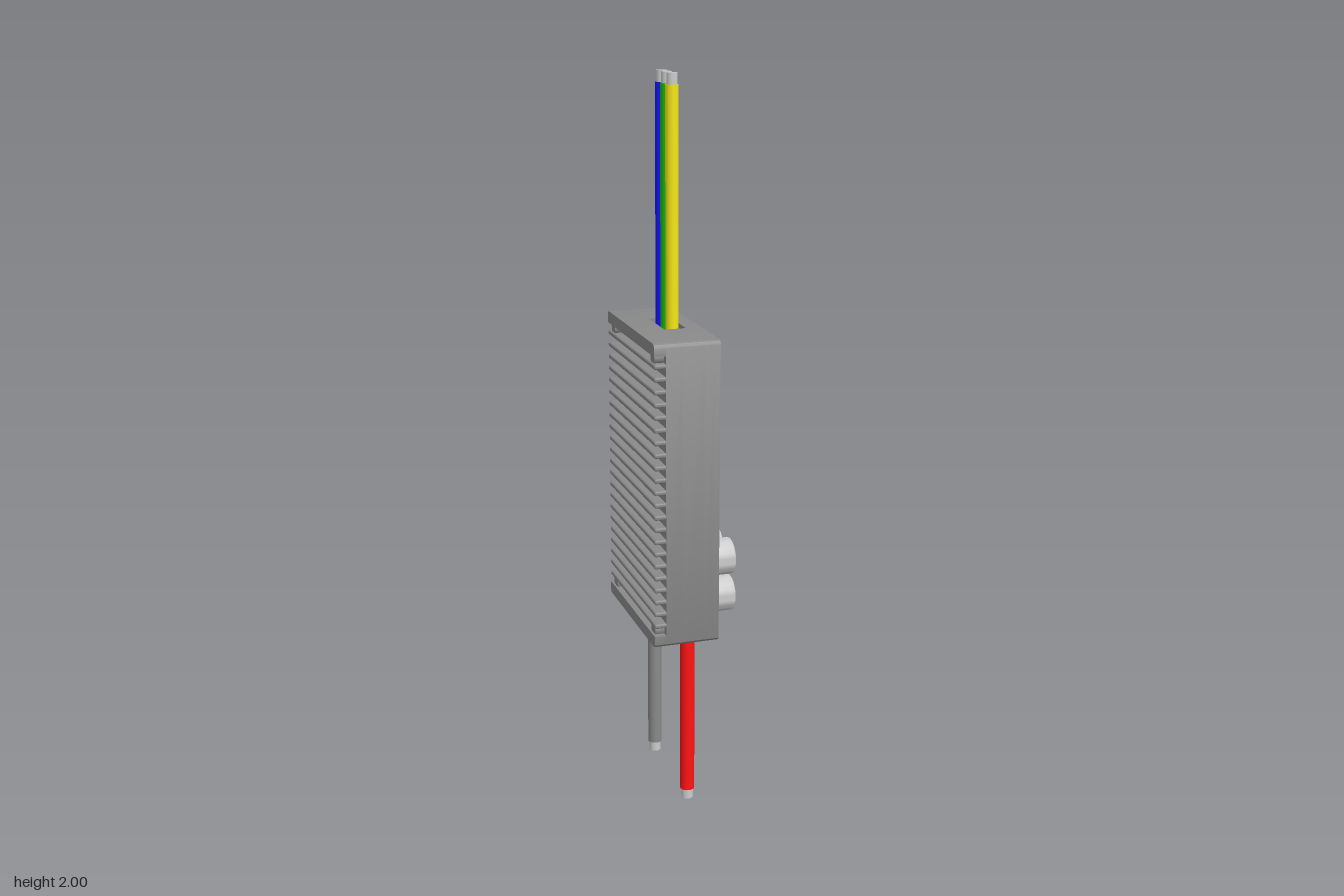
import * as THREE from 'three';
import { RoundedBoxGeometry } from 'three/addons/geometries/RoundedBoxGeometry.js';
import { toCreasedNormals } from 'three/addons/utils/BufferGeometryUtils.js';

const mat = (color) => new THREE.MeshStandardMaterial({ color });
const GREY = mat(0xcccccc), CASE = mat(0x898989);
const V = (x, y) => new THREE.Vector2(x, y);

// Case limits: back of core, front face, bottom, top, half width
const CORE = -0.096, BACK = -0.128, FRONT = 0.053, Y0 = 0.492, Y1 = 1.333, W = 0.22, R = 0.012;

export function createModel() {
  const model = new THREE.Group();

  function add(name, geo, material, x = 0, y = 0, z = 0, parent = model) {
    const mesh = new THREE.Mesh(geo, material);
    mesh.name = name;
    mesh.position.set(x, y, z);
    parent.add(mesh);
    return mesh;
  }

  // Extrude a profile drawn with u = -z and v = y from x0 to x1
  function plate(name, shape, x0, x1, parent) {
    const geo = new THREE.ExtrudeGeometry(shape, { depth: x1 - x0, bevelEnabled: false, curveSegments: 16 });
    geo.rotateY(Math.PI / 2);
    return add(name, toCreasedNormals(geo, 0.6), CASE, x0, 0, 0, parent);
  }

  // Case outline; notches are [u0, u1, depth] cut from the bottom or top edge
  function outline(bottom = [], top = [], y0 = Y0, y1 = Y1, rb = R, rt = R) {
    const s = new THREE.Shape();
    s.moveTo(-W + rb, y0);
    for (const [a, b, d] of bottom) {
      s.lineTo(a, y0); s.lineTo(a, y0 + d); s.lineTo(b, y0 + d); s.lineTo(b, y0);
    }
    s.lineTo(W - rb, y0);
    if (rb) s.absarc(W - rb, y0 + rb, rb, -Math.PI / 2, 0);
    s.lineTo(W, y1 - rt);
    if (rt) s.absarc(W - rt, y1 - rt, rt, 0, Math.PI / 2);
    for (const [a, b, d] of top) {
      s.lineTo(b, y1); s.lineTo(b, y1 - d); s.lineTo(a, y1 - d); s.lineTo(a, y1);
    }
    s.lineTo(-W + rt, y1);
    if (rt) s.absarc(-W + rt, y1 - rt, rt, Math.PI / 2, Math.PI);
    s.lineTo(-W, y0 + rb);
    if (rb) s.absarc(-W + rb, y0 + rb, rb, Math.PI, Math.PI * 1.5);
    return s;
  }

  // Case in layers: the middle one holds the cable openings
  const housing = new THREE.Group();
  housing.name = 'housing';
  model.add(housing);
  plate('caseBack', outline(), CORE, -0.05, housing);
  plate('caseMiddle', outline([[-0.188, -0.128, 0.04], [0.121, 0.181, 0.04]], [[-0.06, 0.083, 0.05]]), -0.05, 0.01, housing);
  plate('caseInner', outline(), 0.01, 0.038, housing);

  // Front cover with a scalloped capacitor well and an L-shaped parts window
  const cover = outline();
  const du = 0.1065, cy = [0.585, 0.692], r = 0.057;
  const a = Math.acos(0.05345 / r), P = Math.PI;
  const well = new THREE.Path();
  [[-1, 0, P / 2 + a, 2 * P - a], [0, 0, P + a, 2 * P - a], [1, 0, P + a, 2.5 * P - a],
    [1, 1, -P / 2 + a, P - a], [0, 1, a, P - a], [-1, 1, a, 1.5 * P - a]]
    .forEach(([i, j, s, e]) => well.absarc(i * du, cy[j], r, s, e));
  const win = new THREE.Path([V(0.12, 1.235), V(0.172, 1.235), V(0.172, 0.855), V(0, 0.855),
    V(0, 0.9), V(0.065, 0.9), V(0.065, 0.915), V(0.12, 0.915)]);
  const port = new THREE.Path([V(0.083, 1.035), V(0.103, 1.035), V(0.103, 1.068), V(0.083, 1.068)]);
  cover.holes.push(well, win, port);
  plate('frontCover', cover, 0.038, FRONT, housing);

  // Heat sink: end bars, rounded fins and corner screws
  const sink = new THREE.Group();
  sink.name = 'heatSink';
  model.add(sink);
  plate('topBar', outline([], [], Y1 - 0.033, Y1, 0, R), BACK, CORE, sink);
  plate('bottomBar', outline([], [], Y0, Y0 + 0.033, R, 0), BACK, CORE, sink);
  const fins = 22, pitch = (Y1 - Y0 - 0.054) / (fins + 1);
  for (let i = 1; i <= fins; i++) {
    add('fin', new RoundedBoxGeometry(0.042, 0.013, 2 * W, 2, 0.005), CASE,
      BACK + 0.021, Y0 + 0.027 + i * pitch, 0, sink);
  }
  for (const y of [Y0 + 0.042, Y1 - 0.042]) for (const z of [-0.185, 0.185]) {
    const screw = new THREE.CylinderGeometry(0.018, 0.018, 0.026, 20).rotateZ(P / 2);
    add('screw', screw, CASE, CORE - 0.013, y, z, sink);
  }

  // Capacitors with softened rims
  const can = new THREE.LatheGeometry([V(0, 0), V(0.051, 0), V(0.051, 0.082), V(0.0495, 0.086),
    V(0.046, 0.088), V(0, 0.088)], 40).rotateZ(-P / 2);
  const canGeo = toCreasedNormals(can, 0.7);
  for (const y of cy) for (const i of [-1, 0, 1]) add('capacitor', canGeo, GREY, 0.038, y, -i * du);

  // Square button block
  add('buttonBlock', new RoundedBoxGeometry(0.05, 0.09, 0.088, 3, 0.01), CASE, 0.048, 0.815, 0.066);

  // Small board parts in the window: [u, y, width, height]
  const parts = [[0.146, 1.16, 0.03, 0.13], [0.146, 1.06, 0.036, 0.04], [0.146, 1.01, 0.036, 0.045],
    [0.146, 0.951, 0.036, 0.048], [0.146, 0.89, 0.036, 0.05], [0.033, 0.878, 0.048, 0.032],
    [0.094, 0.882, 0.036, 0.024], [0.093, 1.051, 0.012, 0.024]];
  for (const [u, y, w, h] of parts) {
    add('boardPart', new RoundedBoxGeometry(0.02, h, w, 2, 0.003), CASE, 0.047, y, -u);
  }

  // Cables: insulation with a bare core showing at the free end
  function cable(name, color, x, z, radius, yIn, yEnd, coreEnd) {
    const g = new THREE.Group();
    g.name = name;
    model.add(g);
    const tube = (part, rad, to, m) => add(part, new THREE.CylinderGeometry(rad, rad, Math.abs(to - yIn), 32),
      m, x, (yIn + to) / 2, z, g);
    tube('insulation', radius, yEnd, mat(color));
    tube('wireCore', radius * 0.82, coreEnd, GREY);
  }
  cable('yellowCable', 0xf5e614, -0.02, 0.032, 0.0175, 1.28, 1.97, 2);
  cable('greenCable', 0x14b814, -0.02, -0.013, 0.0175, 1.28, 1.97, 2);
  cable('blueCable', 0x1414ff, -0.02, -0.058, 0.0175, 1.28, 1.97, 2);
  cable('redCable', 0xff1414, -0.016, 0.158, 0.02, 0.535, 0.028, 0);
  cable('greyCable', 0x898989, -0.016, -0.151, 0.02, 0.535, 0.028, 0);

  return model;
}
